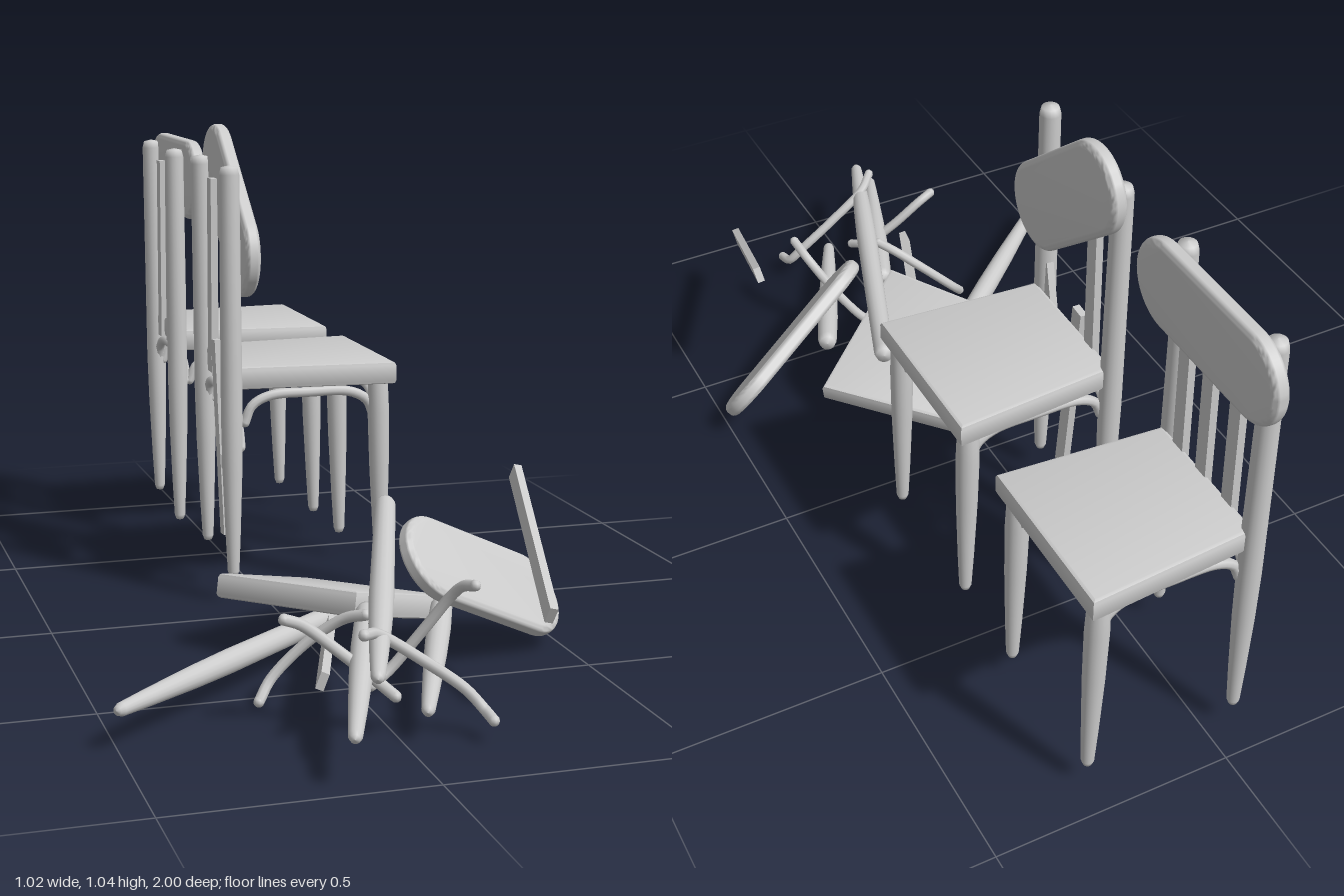
import * as THREE from 'three';
import { toCreasedNormals } from 'three/addons/utils/BufferGeometryUtils.js';

const material = new THREE.MeshStandardMaterial({ color: 0xcccccc });
const UP = new THREE.Vector3(0, 1, 0);
const vec = (p) => new THREE.Vector3(...p);

function add(group, name, geometry) {
  const mesh = new THREE.Mesh(geometry, material);
  mesh.name = name;
  group.add(mesh);
  return mesh;
}

// Places a part that is built along +y so that it runs from a to b
function span(mesh, a, b) {
  mesh.position.copy(vec(a));
  mesh.quaternion.setFromUnitVectors(UP, vec(b).sub(vec(a)).normalize());
  return mesh;
}
const distance = (a, b) => vec(a).distanceTo(vec(b));

// Turned leg or post: narrow rounded foot, fuller body, rounded tip
function turned(group, name, foot, tip, taper = 0.24) {
  const L = distance(foot, tip);
  const profile = [
    [0, 0], [0.009, 0.003], [0.013, 0.014], [0.017, 0.1], [0.022, taper],
    [0.024, taper + 0.12], [0.022, L - 0.02], [0.018, L - 0.004], [0, L],
  ].map(([r, y]) => new THREE.Vector2(r, y));
  return span(add(group, name, new THREE.LatheGeometry(profile, 16)), foot, tip);
}

// Flat back slat
function slat(group, name, a, b) {
  const L = distance(a, b);
  const geometry = new THREE.BoxGeometry(0.016, L, 0.034).translate(0, L / 2, 0);
  return span(add(group, name, geometry), a, b);
}

// Bent stretcher tube with closed ends
function stretcher(group, name, points) {
  const curve = new THREE.CatmullRomCurve3(points.map(vec));
  add(group, name, new THREE.TubeGeometry(curve, 28, 0.011, 8));
  for (const p of [points[0], points[points.length - 1]]) {
    add(group, name + 'End', new THREE.SphereGeometry(0.011, 8, 6)).position.copy(vec(p));
  }
}

// Arch between two legs, drooping at both ends
function arch(group, name, [ax, ay, az], [bx, by, bz]) {
  const at = (t, rise) => [ax + (bx - ax) * t, ay + (by - ay) * t + rise, az + (bz - az) * t];
  stretcher(group, name, [at(0, 0), at(0.05, 0.035), at(0.18, 0.056), at(0.5, 0.06),
    at(0.82, 0.056), at(0.95, 0.035), at(1, 0)]);
}

// Seat board, wider at its front (+x), top face at y = 0
function seat(group) {
  const b = 0.008;
  const [x, back, front] = [0.175 - b, 0.16 - b, 0.185 - b];
  const shape = new THREE.Shape([[-x, -back], [x, -front], [x, front], [-x, back]]
    .map(([u, v]) => new THREE.Vector2(u, v)));
  const geometry = new THREE.ExtrudeGeometry(shape, {
    depth: 0.05 - 2 * b, bevelSize: b, bevelThickness: b, bevelSegments: 2,
  });
  geometry.rotateX(-Math.PI / 2).translate(0, b - 0.05, 0);
  return add(group, 'seat', toCreasedNormals(geometry, 0.5));
}

// Pillow-edged oval back rest: long in x, facing z
function backRest(group) {
  const [half, r, b] = [0.137, 0.08, 0.014];
  const shape = new THREE.Shape();
  shape.absarc(half, 0, r, -Math.PI / 2, Math.PI / 2);
  shape.absarc(-half, 0, r, Math.PI / 2, Math.PI * 1.5);
  const geometry = new THREE.ExtrudeGeometry(shape, {
    depth: 0.006, bevelSize: b, bevelThickness: b, bevelSegments: 5, curveSegments: 16,
  });
  geometry.translate(0, 0, -0.003);
  return add(group, 'backRest', toCreasedNormals(geometry, 0.8));
}

// Standing chair facing +x; the broken one has a fallen rest and loose slats
function standingChair(name, z, broken) {
  const chair = new THREE.Group();
  chair.name = name;
  chair.position.z = z;
  seat(chair).position.set(0.115, 0.53, 0);

  turned(chair, 'backPost', [-0.075, 0.06, 0.155], [-0.08, 0.967, 0.15]);
  turned(chair, 'backPost', [-0.055, 0.06, -0.155], [-0.068, 0.967, -0.155]);
  for (const s of [1, -1]) {
    turned(chair, 'frontLeg', [0.268, 0.055, s * 0.152], [0.258, 0.5, s * 0.152]);
    arch(chair, 'sideStretcher', [-0.045, 0.405, s * 0.145], [0.25, 0.405, s * 0.145]);
  }
  arch(chair, 'frontStretcher', [0.255, 0.405, 0.145], [0.255, 0.405, -0.145]);
  arch(chair, 'backStretcher', [-0.055, broken ? 0.35 : 0.405, 0.145], [-0.055, 0.41, -0.145]);

  slat(chair, 'slat', [-0.06, 0.48, -0.075], [-0.06, 0.92, -0.075]);
  if (broken) {
    slat(chair, 'looseSlat', [-0.065, 0.28, 0.06], [-0.075, 0.59, 0.145]);
    slat(chair, 'looseSlat', [-0.06, 0.125, 0.03], [-0.07, 0.565, -0.008]);
  } else {
    for (const sz of [0.095, 0.015]) slat(chair, 'slat', [-0.06, 0.48, sz], [-0.06, 0.92, sz]);
  }

  const rest = backRest(chair);
  rest.position.set(-0.036, broken ? 0.857 : 0.89, broken ? -0.005 : 0);
  rest.rotation.set(0, Math.PI / 2, broken ? 0.69 : 0);
  return chair;
}

// Orients a mesh by its local x and an approximate local z direction
function orient(mesh, xDir, zDir) {
  const x = vec(xDir).normalize();
  const y = vec(zDir).cross(x).normalize();
  mesh.quaternion.setFromRotationMatrix(
    new THREE.Matrix4().makeBasis(x, y, x.clone().cross(y)));
}

// Heap of parts of a third chair
function collapsedChair() {
  const heap = new THREE.Group();
  heap.name = 'collapsedChair';

  const board = seat(heap);
  board.position.set(0.0425, 0.135, 0.245);
  orient(board, [0.22, 0.02, 0.27], [-0.26, 0.09, 0.205]);

  const rest = backRest(heap);
  rest.position.set(0.312, 0.168, 0.385);
  orient(rest, [0.84, -0.42, -0.33], [0.53, 0.6, 0.6]);

  turned(heap, 'backPost', [-0.505, 0.082, 0.71], [0.12, 0.055, 0.15]);
  turned(heap, 'backPost', [-0.1, 0.18, 0.945], [0.2, 0.265, 0.115]);
  turned(heap, 'frontLeg', [-0.155, 0.095, 0.99], [0.03, 0.16, 0.5]);
  turned(heap, 'frontLeg', [0.04, 0.06, 0.815], [0.23, 0.12, 0.38]);

  slat(heap, 'looseSlat', [0.295, 0.205, 0.77], [0.385, 0.38, 0.375]);
  slat(heap, 'looseSlat', [-0.125, 0.1, 0.71], [0, 0.09, 0.36]);

  stretcher(heap, 'stretcher', [[-0.09, 0.225, 0.84], [-0.05, 0.21, 0.8], [0.04, 0.15, 0.79],
    [0.12, 0.09, 0.795], [0.15, 0.055, 0.81], [0.155, 0.045, 0.845]]);
  stretcher(heap, 'stretcher', [[0.195, 0.235, 0.645], [0.185, 0.215, 0.59], [0.13, 0.12, 0.54],
    [0.07, 0.04, 0.52], [0.03, 0.015, 0.53]]);
  stretcher(heap, 'stretcher', [[-0.2, 0.013, 0.55], [-0.17, 0.05, 0.53], [-0.1, 0.12, 0.54],
    [-0.04, 0.17, 0.575], [-0.01, 0.185, 0.61]]);
  stretcher(heap, 'stretcher', [[-0.195, 0.22, 0.7], [-0.16, 0.205, 0.695], [-0.09, 0.15, 0.705],
    [-0.03, 0.1, 0.73], [-0.005, 0.08, 0.77]]);
  return heap;
}

export function createModel() {
  const model = new THREE.Group();
  model.name = 'threeChairs';
  model.add(standingChair('wholeChair', -0.775, false));
  model.add(standingChair('brokenChair', -0.262, true));
  model.add(collapsedChair());
  return model;
}
